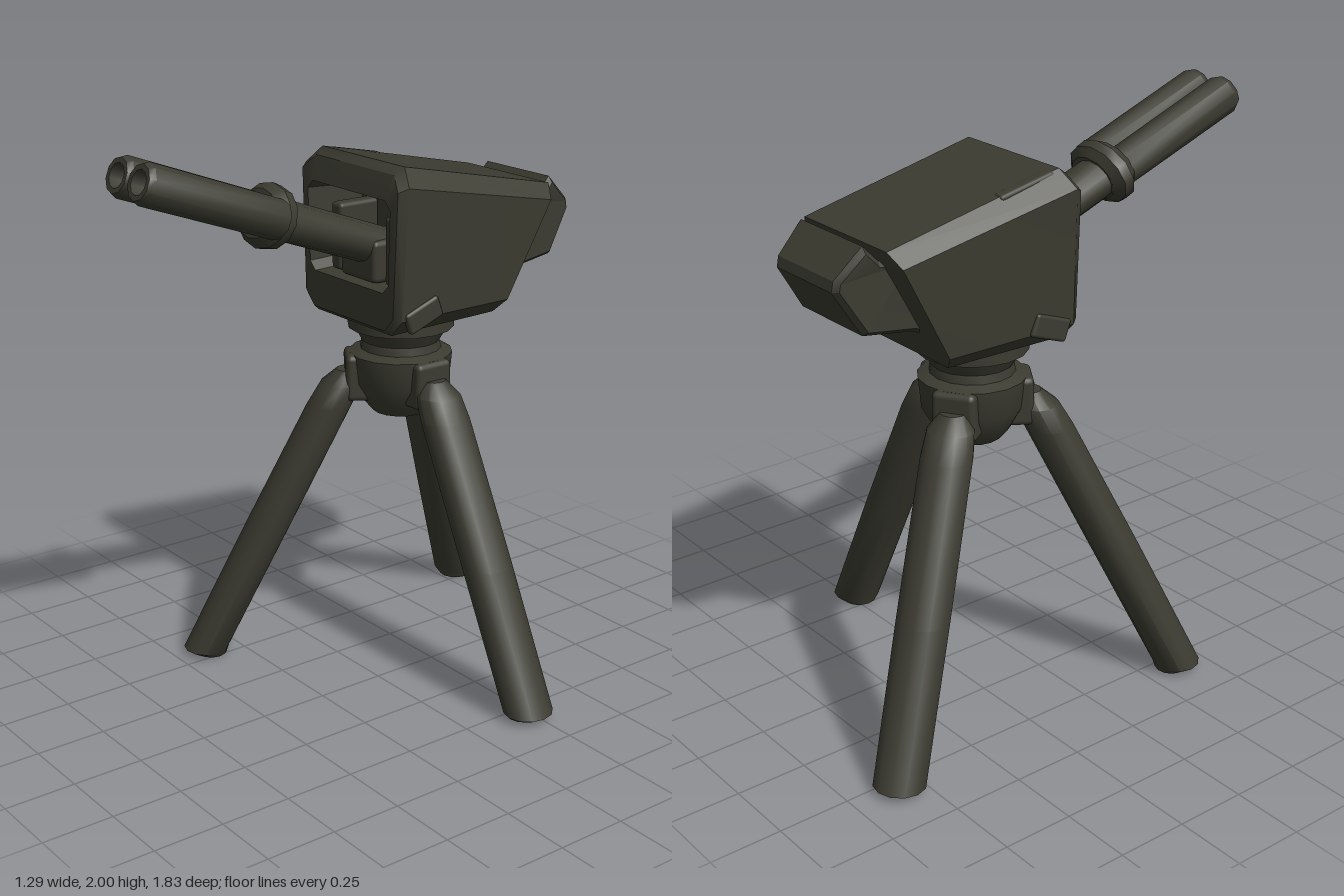
import * as THREE from 'three';
import { toCreasedNormals } from 'three/addons/utils/BufferGeometryUtils.js';
import { RoundedBoxGeometry } from 'three/addons/geometries/RoundedBoxGeometry.js';

const HUB_X = -0.16, HUB_Z = -0.225;

// Skins closed rings of [x, y, z] points, each turning counter-clockwise about the direction of travel, and caps both ends.
function loft(rings) {
  const pos = [], idx = [], n = rings[0].length;
  rings.forEach(r => r.forEach(p => pos.push(...p)));
  for (let k = 0; k < rings.length - 1; k++) {
    for (let i = 0; i < n; i++) {
      const j = (i + 1) % n, a = k * n + i, b = k * n + j;
      idx.push(a, b, b + n, a, b + n, a + n);
    }
  }
  const last = (rings.length - 1) * n;
  for (let i = 1; i < n - 1; i++) {
    idx.push(0, i + 1, i, last, last + i, last + i + 1);
  }
  const g = new THREE.BufferGeometry();
  g.setAttribute('position', new THREE.Float32BufferAttribute(pos, 3));
  g.setIndex(idx);
  return toCreasedNormals(g, 0.65);
}

// Chamfered rectangle facing +z; the width narrows towards the bottom and depth follows zAt(y).
function frame(halfW, y0, y1, c, zAt) {
  const cx = -0.155;
  const corners = [
    [halfW, y0 + c], [halfW, y1 - c], [halfW - c, y1], [c - halfW, y1],
    [-halfW, y1 - c], [-halfW, y0 + c], [c - halfW, y0], [halfW - c, y0]
  ];
  return corners.map(([x, y]) => [cx + x * (1 - 0.17 * Math.max(0, 1.8 - y)), y, zAt(y)]);
}

function lathe(points, sides) {
  const g = new THREE.LatheGeometry(points.map(p => new THREE.Vector2(...p)), sides);
  return toCreasedNormals(g, 0.65);
}

export function createModel() {
  const model = new THREE.Group();
  model.name = 'tripodTurret';
  const olive = new THREE.MeshStandardMaterial({ color: 0x3b3b31 });
  olive.name = 'dark olive metal';

  function add(parent, name, geometry, x = 0, y = 0, z = 0) {
    const mesh = new THREE.Mesh(geometry, olive);
    mesh.name = name;
    mesh.position.set(x, y, z);
    parent.add(mesh);
    return mesh;
  }

  // Three splayed legs with rounded knees and clamps on the hub
  const sides = 12;
  const legRings = [[0.0, 0.705, 0.055], [0.025, 0.725, 0.083], [0.5, 0.49, 0.085],
    [0.97, 0.255, 0.083], [1.05, 0.215, 0.075], [1.1, 0.19, 0.04]]
    .map(([y, out, r]) => Array.from({ length: sides }, (_, i) => {
      const a = -i / sides * Math.PI * 2;
      return [out + Math.cos(a) * r, y, Math.sin(a) * r * 1.08];
    }));
  const legGeometry = loft(legRings);
  [0, 123, -123].forEach(deg => {
    const leg = new THREE.Group();
    leg.name = 'leg';
    leg.position.set(HUB_X, 0, HUB_Z);
    leg.rotation.y = THREE.MathUtils.degToRad(deg);
    add(leg, 'legTube', legGeometry);
    add(leg, 'legClamp', new RoundedBoxGeometry(0.12, 0.17, 0.15, 2, 0.02), 0.14, 1.08, 0);
    model.add(leg);
  });

  // Hub, neck and turntable
  add(model, 'hub', lathe([
    [0, 0.945], [0.1, 0.945], [0.13, 0.98], [0.175, 1.06], [0.185, 1.165], [0.145, 1.18],
    [0.14, 1.21], [0.165, 1.255], [0.19, 1.26], [0.19, 1.315], [0, 1.32]
  ], 16), HUB_X, 0, HUB_Z);

  // Housing: slanted back, sloping roof and an open recessed front
  const back = y => -0.475 - (y - 1.31) * 0.54;
  const front = y => 0.01 - Math.max(0, y - 1.8) * 0.45;
  add(model, 'housing', loft([
    frame(0.225, 1.355, 1.70, 0.035, y => back(y) - 0.01),
    frame(0.272, 1.31, 1.745, 0.05, back),
    frame(0.29, 1.305, 1.885, 0.06, y => front(y) - 0.025),
    frame(0.27, 1.325, 1.86, 0.05, front),
    frame(0.235, 1.455, 1.775, 0.03, front),
    frame(0.225, 1.465, 1.765, 0.03, () => -0.22)
  ]));
  add(model, 'roofRib', new RoundedBoxGeometry(0.045, 0.03, 0.22, 2, 0.012), -0.37, 1.845, -0.18)
    .rotation.x = -0.2;

  // Side plates at the lower front corners
  [-1, 1].forEach(s => {
    const plate = add(model, 'sidePlate', new RoundedBoxGeometry(0.03, 0.08, 0.15, 2, 0.012),
      -0.155 + s * 0.262, 1.375, -0.11);
    plate.rotation.x = 0.35;
  });

  // Ammunition box behind the housing
  const boxShape = new THREE.Shape([
    [-0.5, 1.42], [-0.575, 1.46], [-0.75, 1.485], [-0.84, 1.63], [-0.835, 1.655],
    [-0.752, 1.735], [-0.705, 1.685], [-0.60, 1.68]
  ].map(p => new THREE.Vector2(...p)));
  const box = new THREE.ExtrudeGeometry(boxShape, {
    depth: 0.34, bevelEnabled: true, bevelThickness: 0.02, bevelSize: 0.015, bevelSegments: 1
  });
  box.rotateY(-Math.PI / 2).translate(0.025, 0, 0);
  const p = box.attributes.position;
  for (let i = 0; i < p.count; i++) {
    const narrow = 1 - 0.9 * Math.max(0, -0.72 - p.getZ(i));
    p.setX(i, -0.145 + (p.getX(i) + 0.145) * narrow);
  }
  add(model, 'ammunitionBox', toCreasedNormals(box, 0.5));

  // Gun cradle inside the recess
  add(model, 'cradle', new RoundedBoxGeometry(0.2, 0.15, 0.2, 2, 0.02), -0.145, 1.535, -0.12);
  [-0.3, 0.005].forEach(x =>
    add(model, 'cradleCheek', new RoundedBoxGeometry(0.06, 0.24, 0.17, 2, 0.015), x, 1.58, -0.13));

  // Raised gun: a thick sleeve, an oval collar and twin hollow barrels
  const gun = new THREE.Group();
  gun.name = 'gun';
  gun.position.set(-0.14, 1.607, 0);
  gun.rotation.x = -0.355;
  model.add(gun);
  const alongZ = g => g.rotateX(Math.PI / 2);
  const sleeve = alongZ(lathe([[0, -0.22], [0.07, -0.22], [0.07, 0.4], [0, 0.4]], 12));
  add(gun, 'sleeve', sleeve.scale(1.22, 1, 1));
  const collar = alongZ(lathe([
    [0, 0.335], [0.08, 0.335], [0.108, 0.36], [0.112, 0.395], [0.085, 0.43], [0, 0.43]
  ], 12));
  add(gun, 'collar', collar.scale(1.28, 1, 1), 0.01);
  const barrel = alongZ(lathe([
    [0, 0.4], [0.068, 0.4], [0.07, 0.93], [0.06, 0.95], [0.042, 0.95], [0.038, 0.86], [0, 0.86]
  ], 10));
  [-0.031, 0.101].forEach(x => add(gun, 'barrel', barrel, x));

  return model;
}
